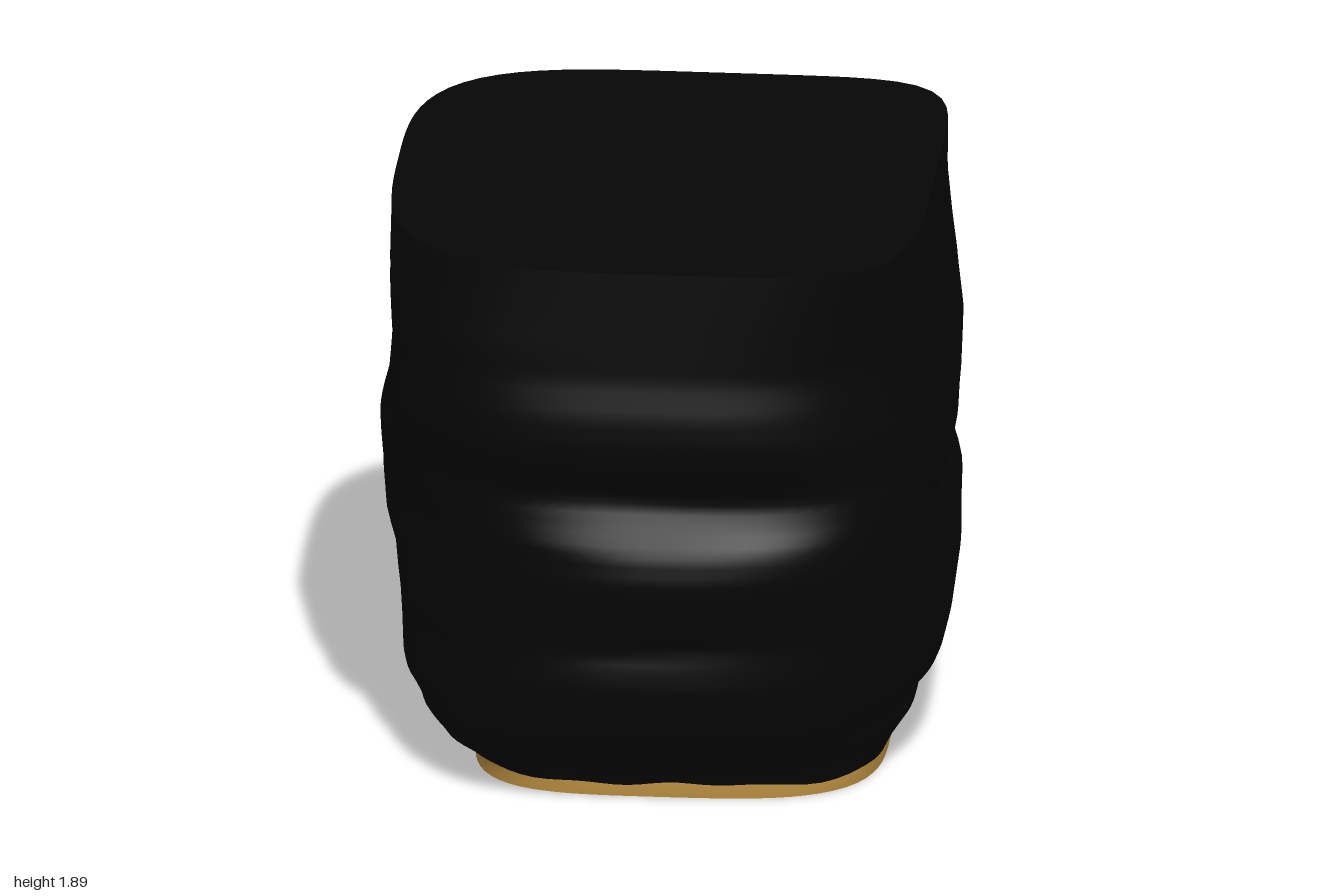
import * as THREE from 'three';

const SEG = 96;

// Outline half-widths by height: [y, reach]
const LEFT = [[0.04, 0.7], [0.1, 0.73], [0.16, 0.78], [0.25, 0.8], [0.32, 0.86], [0.4, 0.88], [0.56, 0.9],
  [0.8, 0.9], [0.9, 0.87], [1.0, 0.89], [1.15, 0.9], [1.3, 0.9], [1.47, 0.88], [1.72, 0.84], [1.89, 0.84]];
const RIGHT = [[0.04, 0.6], [0.08, 0.63], [0.1, 0.7], [0.16, 0.74], [0.26, 0.78], [0.32, 0.83], [0.56, 0.84],
  [0.7, 0.86], [0.78, 0.89], [0.9, 0.9], [1.15, 0.9], [1.25, 0.87], [1.47, 0.85], [1.72, 0.86], [1.89, 0.86]];
const FRONT = [[0.04, 0.6], [0.1, 0.62], [0.14, 0.69], [0.21, 0.75], [0.24, 0.8], [0.37, 0.87], [0.46, 0.9],
  [0.6, 0.89], [0.74, 0.96], [0.85, 0.98], [0.95, 0.96], [1.0, 0.91], [1.08, 0.865], [1.13, 0.88],
  [1.23, 0.97], [1.31, 1.0], [1.41, 0.995], [1.53, 0.965], [1.89, 0.94]];
const BACK = [[0.04, 0.69], [0.15, 0.78], [0.2, 0.83], [0.37, 0.93], [0.55, 0.93], [0.66, 0.95], [0.75, 0.92],
  [0.86, 0.87], [0.92, 0.88], [1.0, 0.98], [1.08, 1.0], [1.17, 0.96], [1.29, 0.89], [1.42, 0.915],
  [1.57, 0.91], [1.72, 0.88], [1.89, 0.87]];

// Diagonal reach of each corner by height
const FRONT_LEFT = [[0.04, 0.75], [0.1, 0.776], [0.33, 0.905], [0.47, 0.967], [0.66, 1.0], [0.89, 1.01],
  [1.12, 1.005], [1.29, 1.05], [1.52, 1.03], [1.7, 1.05], [1.89, 1.08]];
const FRONT_RIGHT = [[0.04, 0.7], [0.23, 0.89], [0.36, 0.92], [0.57, 0.942], [0.91, 0.934], [1.1, 0.98],
  [1.31, 1.07], [1.63, 1.07], [1.89, 1.02]];
const BACK_LEFT = [[0.04, 0.835], [0.18, 0.96], [0.32, 0.99], [0.58, 1.065], [0.76, 1.07], [0.87, 1.05],
  [0.98, 1.08], [1.89, 1.08]];
const BACK_RIGHT = [[0.04, 0.757], [0.15, 0.85], [0.24, 0.94], [0.58, 0.98], [0.87, 1.03], [1.01, 0.993],
  [1.14, 0.963], [1.49, 1.0], [1.89, 1.01]];

// Creases pressed into the cloth: [angle, y, slope, angular spread, depth]
const CREASES = [[1.95, 1.13, 0.06, 0.45, 0.012], [2.25, 0.78, 0.15, 0.3, 0.015], [1.5, 0.6, -0.08, 0.5, 0.01],
  [2.3, 0.52, 0.03, 0.25, 0.015], [0, 0.92, 0.12, 0.6, 0.01], [0, 0.25, 0, 0.6, 0.008]];

function sample(table, y) {
  if (y <= table[0][0]) return table[0][1];
  for (let i = 1; i < table.length; i++) {
    const [y0, r0] = table[i - 1], [y1, r1] = table[i];
    if (y <= y1) return THREE.MathUtils.lerp(r0, r1, (y - y0) / (y1 - y0));
  }
  return table[table.length - 1][1];
}

// Rounded-square cross-section: its own reach on each side, its own roundness at each corner
function section(y, grow = 0, creased = false) {
  const points = [];
  for (let i = 0; i < SEG; i++) {
    const t = (i / SEG) * Math.PI * 2, c = Math.cos(t), s = Math.sin(t);
    const a = sample(c > 0 ? LEFT : RIGHT, y), b = sample(s > 0 ? FRONT : BACK, y);
    const corner = s > 0 ? (c > 0 ? FRONT_LEFT : FRONT_RIGHT) : (c > 0 ? BACK_LEFT : BACK_RIGHT);
    const fullness = Math.min(0.92, Math.max(0.7, sample(corner, y) * Math.SQRT2 / (a + b)));
    const n = -1 / Math.log2(fullness);
    let r = Math.pow(Math.abs(c / a) ** n + Math.abs(s / b) ** n, -1 / n) + grow;
    if (creased) {
      for (const [angle, cy, slope, spread, depth] of CREASES) {
        const d = Math.atan2(Math.sin(t - angle), Math.cos(t - angle));
        const h = (y - cy - slope * d) / 0.04;
        r -= depth * Math.exp(-((d / spread) ** 2) - h * h);
      }
    }
    points.push(new THREE.Vector3(c * r, y, s * r));
  }
  return points;
}

function makeGeometry(points, index) {
  const g = new THREE.BufferGeometry().setFromPoints(points);
  g.setIndex(index);
  g.computeVertexNormals();
  return g;
}

// Skin stretched over stacked rings
function loft(rings) {
  const index = [];
  for (let k = 0; k < rings.length - 1; k++) {
    for (let i = 0; i < SEG; i++) {
      const a = k * SEG + i, b = k * SEG + (i + 1) % SEG;
      index.push(a, a + SEG, b, b, a + SEG, b + SEG);
    }
  }
  return makeGeometry(rings.flat(), index);
}

// Flat cap over one ring
function cap(ring, up) {
  const index = [];
  for (let i = 0; i < SEG; i++) {
    const j = (i + 1) % SEG;
    index.push(SEG, up ? j : i, up ? i : j);
  }
  return makeGeometry([...ring, new THREE.Vector3(0, ring[0].y, 0)], index);
}

export function createModel() {
  const black = new THREE.MeshStandardMaterial({ name: 'black cloth', color: 0x060606 });
  const gold = new THREE.MeshStandardMaterial({ name: 'gold trim', color: 0xb58a3e });
  const model = new THREE.Group();
  model.name = 'wrinkledSleeve';
  const add = (name, geometry, material) => {
    const mesh = new THREE.Mesh(geometry, material);
    mesh.name = name;
    model.add(mesh);
  };

  // Cloth body, with a slightly uneven hem
  const rings = [];
  for (let k = 0; k <= 62; k++) rings.push(section(0.045 + (1.89 - 0.045) * k / 62, 0.002, k < 62));
  rings[0].forEach((p, i) => {
    p.y += 0.004 * Math.sin(i * 0.9) + 0.004 * Math.sin(i * 0.39);
  });
  add('clothBody', loft(rings), black);
  add('topCap', cap(rings[62], true), black);

  // Gold band showing under the hem
  const foot = section(0), rim = section(0.06, -0.012);
  add('goldBand', loft([foot, section(0.04), rim]), gold);
  add('bottomCap', cap(foot, false), black);
  return model;
}
